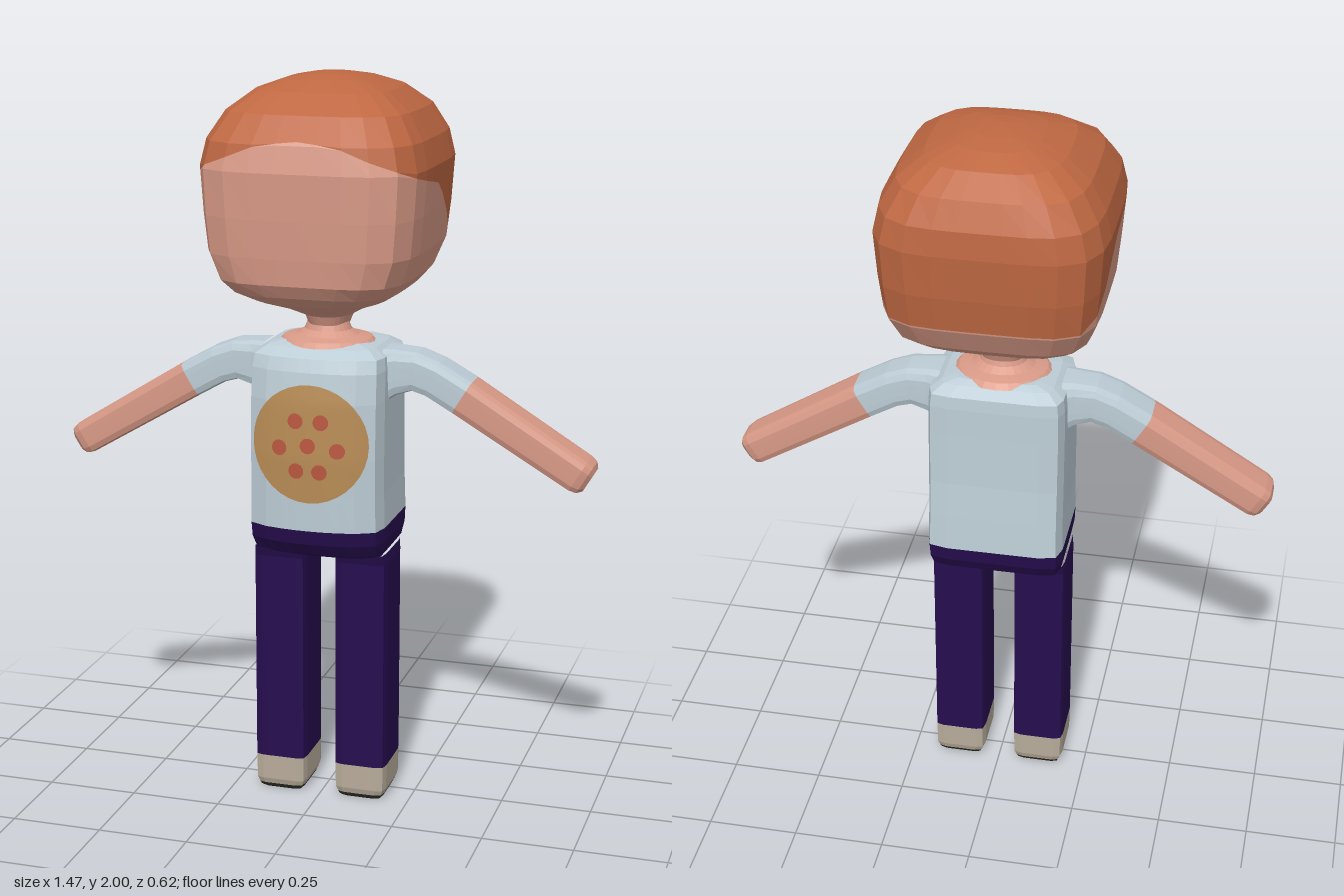
import * as THREE from 'three';

const mat = (name, color) => Object.assign(new THREE.MeshStandardMaterial({ color }), { name });
const UP = Math.PI / 2;

// Unit squircle point at angle a (x = cos side, z = sin side, +z front)
function squircle(a, n) {
  const c = Math.cos(a), s = Math.sin(a);
  const r = Math.pow(Math.abs(c) ** n + Math.abs(s) ** n, -1 / n);
  return [c * r, s * r];
}

// Faceted skin over a row of rings, with optional end caps
function loft(rings, capStart = false, capEnd = false) {
  const m = rings[0].length, pos = [];
  const tri = (...pts) => {
    const [a, b, c] = pts;
    if (a.distanceTo(b) < 1e-6 || b.distanceTo(c) < 1e-6 || a.distanceTo(c) < 1e-6) return;
    pts.forEach(p => pos.push(p.x, p.y, p.z));
  };
  const middle = ring => ring.reduce((t, p) => t.add(p), new THREE.Vector3()).divideScalar(m);
  for (let j = 0; j < m; j++) {
    const k = (j + 1) % m;
    for (let i = 0; i < rings.length - 1; i++) {
      tri(rings[i][j], rings[i + 1][j], rings[i + 1][k]);
      tri(rings[i][j], rings[i + 1][k], rings[i][k]);
    }
    const last = rings[rings.length - 1];
    if (capStart) tri(middle(rings[0]), rings[0][j], rings[0][k]);
    if (capEnd) tri(middle(last), last[k], last[j]);
  }
  const g = new THREE.BufferGeometry();
  g.setAttribute('position', new THREE.Float32BufferAttribute(pos, 3));
  g.computeVertexNormals();
  return g;
}

// One ring: centre, heading in the xy plane, half width, front and back depth
function ring({ x = 0, y, z = 0, angle = UP, w, f, b = f, n = 9, bulge = 0, seg = 32 }) {
  const ux = Math.sin(angle), uy = -Math.cos(angle);
  return Array.from({ length: seg }, (_, j) => {
    const [p, q] = squircle(j / seg * Math.PI * 2, n);
    const d = q > 0 ? q * f * (1 - bulge * p * p) : q * b;
    return new THREE.Vector3(x + ux * p * w, y + uy * p * w, z + d);
  });
}

// Linear lookup in rows sorted by their first number
function lookup(rows, t) {
  let i = 0;
  while (i < rows.length - 2 && t > rows[i + 1][0]) i++;
  const k = THREE.MathUtils.clamp((t - rows[i][0]) / (rows[i + 1][0] - rows[i][0]), 0, 1);
  return rows[i].map((v, c) => v + (rows[i + 1][c] - v) * k);
}

// Head rows: height, half width, front, back, squareness
const HEAD = [
  [1.335, .055, .07, .04, 2.2], [1.36, .065, .08, .05, 2.2], [1.39, .12, .15, .1, 2.6],
  [1.415, .18, .22, .15, 3.2], [1.445, .225, .27, .2, 4], [1.48, .255, .292, .245, 4.6],
  [1.55, .28, .3, .285, 5], [1.65, .29, .307, .302, 5], [1.77, .3, .312, .312, 4.6],
  [1.84, .285, .298, .305, 4.4], [1.91, .245, .245, .275, 4], [1.96, .18, .17, .215, 3.6],
  [1.985, .11, .1, .15, 3], [1.995, .06, .05, .09, 2.5], [2, 0, 0, 0, 2.5],
];
// Hairline: degrees away from the front, height
const HAIRLINE = [
  [0, 1.85], [20, 1.84], [36, 1.8], [45, 1.78], [60, 1.75], [90, 1.72],
  [108, 1.66], [119, 1.59], [135, 1.555], [180, 1.555],
];
function headRings(limit) {
  const seg = 32;
  return HEAD.map(row => Array.from({ length: seg }, (_, j) => {
    const a = j / seg * Math.PI * 2;
    const fromFront = THREE.MathUtils.radToDeg(Math.acos(THREE.MathUtils.clamp(Math.sin(a), -1, 1)));
    const [y, w, f, b, n] = lookup(HEAD, limit(row[0], lookup(HAIRLINE, fromFront)[1]));
    const [p, q] = squircle(a, n);
    return new THREE.Vector3(p * w, y, q * (q > 0 ? f : b));
  }));
}

// Torso rows: height, half width, front, back
const BULGE = .17;
const SHIRT = [
  [.8, .187, .198, .16], [.9, .185, .2, .152], [1, .185, .202, .143], [1.15, .185, .195, .137],
  [1.23, .184, .183, .135], [1.265, .18, .17, .132], [1.285, .15, .135, .1], [1.295, .11, .1, .08],
];
const HIPS = [[.705, .165, .115, .085], [.725, .18, .165, .135], [.76, .186, .19, .155], SHIRT[0]];
const trunk = rows => rows.map(([y, w, f, b]) => ring({ y, w, f, b, n: 10, bulge: BULGE }));

// Flat disc draped over the front of the shirt
function chestDisc(x, y, r, lift) {
  const g = new THREE.RingGeometry(0.0005, r, 36, 8).translate(x, y, 0);
  const p = g.attributes.position;
  for (let i = 0; i < p.count; i++) {
    const [, w, f] = lookup(SHIRT, p.getY(i));
    const k = Math.min(Math.abs(p.getX(i)) / w, 1);
    p.setZ(i, f * Math.pow(1 - k ** 10, .1) * (1 - BULGE * k * k) + lift);
  }
  g.computeVertexNormals();
  return g;
}

// Arm rows: x, y, slope in degrees, half height, half depth
const SLEEVE = [
  [.165, 1.205, 0, .075, .07], [.2, 1.217, 0, .062, .062], [.25, 1.222, -8, .053, .06],
  [.3, 1.205, -22, .05, .06], [.38, 1.16, -31, .05, .06],
];
const FOREARM = [
  SLEEVE[4], [.695, .97, -31, .046, .058], [.712, .96, -31, .042, .052], [.722, .954, -31, .03, .04],
];
const armRings = (rows, side) => rows.map(([x, y, deg, w, f]) => {
  const t = THREE.MathUtils.degToRad(deg);
  return ring({ x: x * side, y, z: .015, angle: side > 0 ? t : Math.PI - t, w, f, n: 6, seg: 24 });
});

export function createModel() {
  const model = new THREE.Group();
  model.name = 'figure';
  const skin = mat('skin', 0xd99a87), hair = mat('hair', 0xbf6842), shirt = mat('shirt', 0xbdcdd6);
  const trousers = mat('trousers', 0x260d4e), shoe = mat('shoe', 0xb8ac9b), sole = mat('sole', 0x2c2b24);
  const crust = mat('crust', 0xb88c55), topping = mat('topping', 0xb9573f);
  const add = (name, geometry, material) => {
    const m = new THREE.Mesh(geometry, material);
    m.name = name;
    model.add(m);
  };

  // Head and neck
  add('face', loft(headRings(Math.min)), skin);
  add('hair', loft(headRings(Math.max)), hair);
  const neck = [[1.285, .135], [1.299, .12], [1.306, .085], [1.32, .064], [1.34, .056]];
  add('neck', loft(neck.map(([y, r]) => ring({ y, z: .015, w: r, f: r * .9, n: 2, seg: 24 }))), skin);

  // Trunk
  add('shirt', loft(trunk(SHIRT), false, true), shirt);
  add('hips', loft(trunk(HIPS), true), trousers);

  // Round print on the chest
  add('chestPrint', chestDisc(0, 1.04, .16, .004), crust);
  const dots = [[-.035, 1.103], [.035, 1.103], [-.08, 1.028], [0, 1.038], [.08, 1.028], [-.032, .968], [.032, .968]];
  dots.forEach(([x, y]) => add('chestDot', chestDisc(x, y, .021, .007), topping));

  // Arms and legs
  for (const side of [1, -1]) {
    const label = side > 0 ? 'left' : 'right';
    add(label + 'Sleeve', loft(armRings(SLEEVE, side)), shirt);
    add(label + 'Forearm', loft(armRings(FOREARM, side), false, true), skin);
    const leg = rows => rows.map(([y, w, f]) => ring({ x: .115 * side, y, z: .017, w, f, n: 10 }));
    add(label + 'Leg', loft(leg([[.1, .073, .091], [.69, .073, .091], [.72, .07, .1]])), trousers);
    add(label + 'Shoe', loft(leg([[.014, .066, .085], [.03, .072, .09], [.1, .073, .091]])), shoe);
    add(label + 'Sole', loft(leg([[0, .056, .075], [.005, .062, .081], [.014, .066, .085]]), true), sole);
  }
  return model;
}
